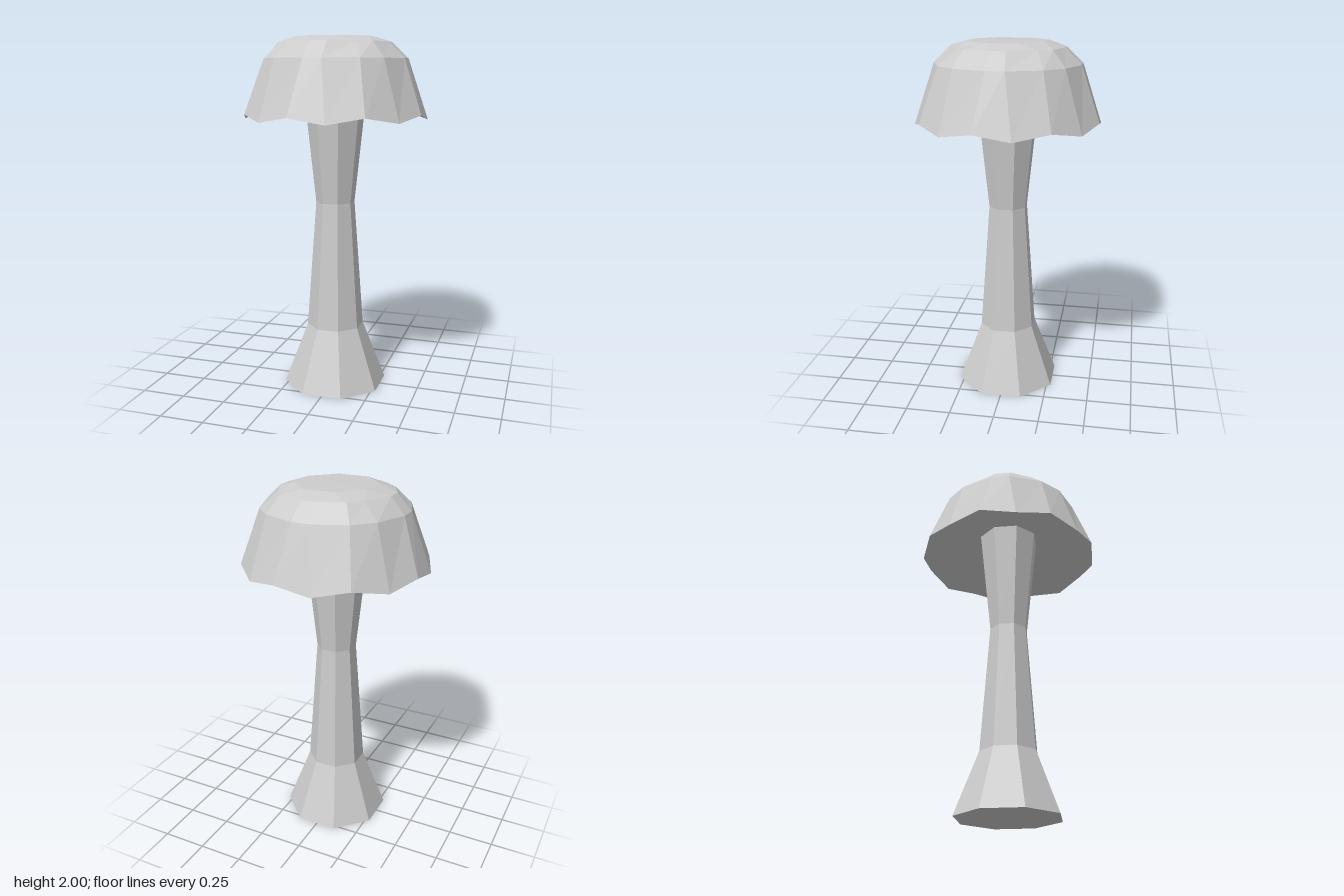
import * as THREE from 'three';

const RAD = Math.PI / 180;

// Ring of points, angle measured from the front (+z) towards +x.
function ring(count, radius, height, angleOf) {
  return Array.from({ length: count }, (_, k) => {
    const a = angleOf(k) * RAD;
    const y = typeof height === 'function' ? height(k) : height;
    return new THREE.Vector3(radius * Math.sin(a), y, radius * Math.cos(a));
  });
}

// Faceted skin through rings of equal count, listed from the bottom outwards and up.
function loft(rings) {
  const pos = [];
  const tri = (a, b, c) => {
    const area = b.clone().sub(a).cross(c.clone().sub(a)).length();
    if (area > 1e-7) for (const p of [a, b, c]) pos.push(p.x, p.y, p.z);
  };
  for (let j = 0; j < rings.length - 1; j++) {
    const lo = rings[j], hi = rings[j + 1], n = lo.length;
    for (let k = 0; k < n; k++) {
      const m = (k + 1) % n;
      tri(lo[k], lo[m], hi[m]);
      tri(lo[k], hi[m], hi[k]);
    }
  }
  const geo = new THREE.BufferGeometry();
  geo.setAttribute('position', new THREE.Float32BufferAttribute(pos, 3));
  geo.computeVertexNormals();
  return geo;
}

export function createModel() {
  const group = new THREE.Group();
  group.name = 'mushroom';
  const grey = new THREE.MeshStandardMaterial({ color: 0xcccccc });
  grey.name = 'light grey';
  grey.flatShading = true;

  const add = (name, rings) => {
    const mesh = new THREE.Mesh(loft(rings), grey);
    mesh.name = name;
    group.add(mesh);
  };

  // Eight-sided stem with a flared foot and a narrow waist
  const stemProfile = [[0, 0], [0.297, 0], [0.163, 0.35], [0.11, 1.08], [0.176, 1.7]];
  add('stem', stemProfile.map(([r, y]) => ring(8, r, y, (k) => 22.5 + 45 * k)));

  // Cap: hollow underside, wavy rim, sloping wall, uneven shoulder, flat crown
  const even = (k) => 11.25 + 22.5 * k;
  const paired = (k) => 22.5 + 45 * Math.floor(k / 2);
  const bunched = (k) => 90 * Math.floor(k / 4) + [7.1, 34.9, 55.1, 82.9][k % 4];
  const shoulder = [
    [0.05, 0.31], [0.19, 0.235], [0.26, 0.19], [0.31, 0.045],
    [0.31, -0.04], [0.24, -0.19], [0.19, -0.26], [0.04, -0.31],
    [-0.04, -0.31], [-0.18, -0.26], [-0.24, -0.19], [-0.32, -0.04],
    [-0.32, 0.05], [-0.26, 0.17], [-0.19, 0.235], [-0.04, 0.325],
  ].map(([x, z]) => new THREE.Vector3(x, 1.967, z));
  add('cap', [
    ring(16, 0.17, 1.7, paired),
    ring(16, 0.514, (k) => (k % 2 ? 1.583 : 1.55), even),
    ring(16, 0.403, 1.88, bunched),
    shoulder,
    ring(16, 0.225, 1.997, paired),
    ring(16, 0, 2, paired),
  ]);

  return group;
}
